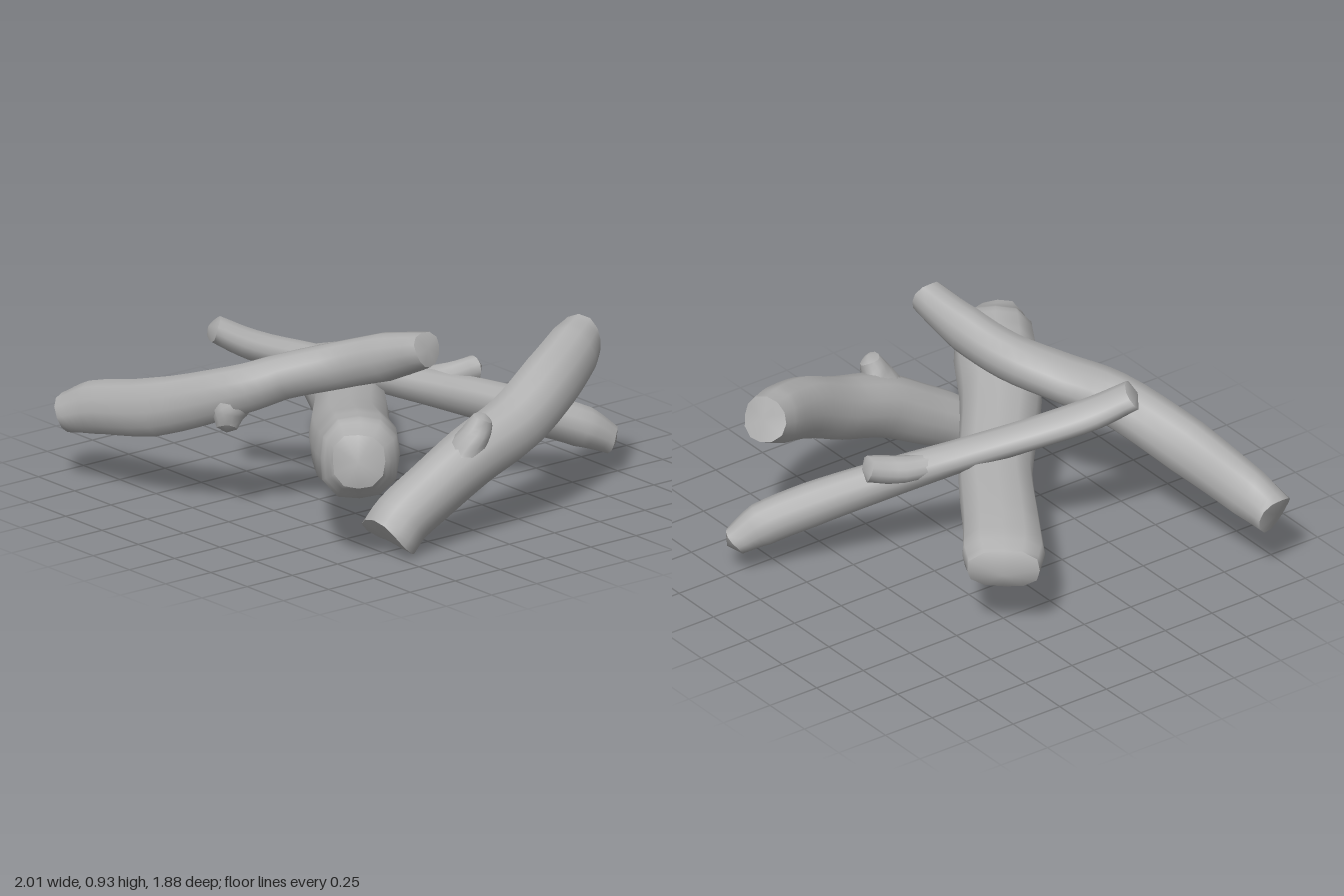
import * as THREE from 'three';

const SIDES = 12;
const bark = new THREE.MeshStandardMaterial({ color: 0xb0b0b0 });
bark.name = 'grey wood';

// Lofts a log along stations [x, y, z, halfWidth, halfHeight].
// lump: surface unevenness, round: rounded ends, square: 2 = elliptical section, more = fuller corners.
function makeLog(name, stations, { lump = 0.05, phase = 0, round = false, square = 2 } = {}) {
  const curve = new THREE.CatmullRomCurve3(stations.map(([x, y, z]) => new THREE.Vector3(x, y, z)));
  const last = stations.length - 1;
  const steps = last * 4;
  const up = new THREE.Vector3(0, 1, 0);
  const pos = [], index = [];
  const rings = [];

  for (let i = 0; i <= steps; i++) {
    const t = i / steps;
    const k = Math.min(Math.floor(t * last), last - 1);
    const f = t * last - k;
    const w = THREE.MathUtils.lerp(stations[k][3], stations[k + 1][3], f);
    const h = THREE.MathUtils.lerp(stations[k][4], stations[k + 1][4], f);
    const p = curve.getPoint(t);
    const dir = curve.getTangent(t);
    const side = new THREE.Vector3().crossVectors(dir, up).normalize();
    const top = new THREE.Vector3().crossVectors(side, dir);
    const ring = [];
    for (let j = 0; j < SIDES; j++) {
      const a = (j / SIDES) * Math.PI * 2;
      const c = Math.cos(a), s = Math.sin(a);
      const full = (Math.abs(c) ** square + Math.abs(s) ** square) ** (-1 / square);
      const r = full * (1 + lump * (Math.sin(3 * a + phase + t * 5) * 0.6 + Math.sin(2 * a - phase * 2 + t * 9) * 0.5));
      const v = p.clone().addScaledVector(side, c * w * r).addScaledVector(top, s * h * r);
      // uneven saw cut at both ends
      if (i === 0 || i === steps) v.addScaledVector(dir, Math.sin(2 * a + phase) * 0.12 * Math.min(w, h));
      ring.push(v);
    }
    rings.push({ ring, p, dir, size: Math.min(w, h) });
  }

  // bark surface
  rings.forEach(({ ring }, i) => {
    ring.forEach((v, j) => {
      pos.push(v.x, v.y, v.z);
      if (i === steps) return;
      const n = (j + 1) % SIDES;
      const a = i * SIDES + j, b = i * SIDES + n;
      index.push(a, a + SIDES, b, b, a + SIDES, b + SIDES);
    });
  });

  // end cuts, with their own vertices for a crisp rim
  for (const end of [0, steps]) {
    const { ring, p, dir, size } = rings[end];
    const bulge = (end ? 1 : -1) * size * (round ? 0.5 : 0.12);
    const c = p.clone().addScaledVector(dir, bulge);
    const base = pos.length / 3;
    pos.push(c.x, c.y, c.z);
    ring.forEach((v) => pos.push(v.x, v.y, v.z));
    for (let j = 0; j < SIDES; j++) {
      const a = base + 1 + j, b = base + 1 + ((j + 1) % SIDES);
      if (end) index.push(base, b, a);
      else index.push(base, a, b);
    }
  }

  const geo = new THREE.BufferGeometry();
  geo.setAttribute('position', new THREE.Float32BufferAttribute(pos, 3));
  geo.setIndex(index);
  geo.computeVertexNormals();
  const mesh = new THREE.Mesh(geo, bark);
  mesh.name = name;
  return mesh;
}

function makeGroup(name, ...parts) {
  const group = new THREE.Group();
  group.name = name;
  group.add(...parts);
  return group;
}

export function createModel() {
  // thick log lying across the middle
  const thick = makeLog('thickLog', [
    [-0.73, 0.475, 0.87, 0.115, 0.115],
    [-0.66, 0.455, 0.79, 0.17, 0.175],
    [-0.57, 0.435, 0.66, 0.182, 0.185],
    [-0.4, 0.405, 0.4, 0.175, 0.16],
    [-0.06, 0.365, -0.02, 0.16, 0.128],
    [0.16, 0.345, -0.36, 0.17, 0.122],
    [0.28, 0.33, -0.54, 0.18, 0.115],
    [0.345, 0.32, -0.63, 0.155, 0.095],
  ], { lump: 0.03, phase: 1, round: true, square: 2.8 });

  // bent log leaning over the thick one, with a knot on its underside
  const bent = makeGroup('bentLog',
    makeLog('bentTrunk', [
      [-0.915, 0.285, -0.895, 0.095, 0.09],
      [-0.88, 0.335, -0.76, 0.105, 0.115],
      [-0.815, 0.415, -0.4, 0.115, 0.125],
      [-0.665, 0.55, -0.05, 0.118, 0.108],
      [-0.52, 0.625, 0.1, 0.115, 0.1],
      [-0.37, 0.695, 0.3, 0.098, 0.105],
      [-0.29, 0.765, 0.5, 0.095, 0.105],
      [-0.24, 0.845, 0.73, 0.08, 0.075],
    ], { phase: 2.2, square: 2.3 }),
    makeLog('bentKnot', [
      [-0.67, 0.55, -0.06, 0.1, 0.1],
      [-0.715, 0.46, -0.045, 0.08, 0.08],
      [-0.735, 0.4, -0.03, 0.045, 0.045],
    ], { phase: 0.8, round: true }));

  // thin branch and its broken stub
  const thin = makeGroup('thinBranch',
    makeLog('branchStem', [
      [-0.56, 0.735, -0.335, 0.085, 0.058],
      [-0.42, 0.655, -0.25, 0.085, 0.068],
      [-0.18, 0.575, -0.125, 0.083, 0.068],
      [0.1, 0.475, 0.05, 0.083, 0.072],
      [0.4, 0.375, 0.22, 0.085, 0.088],
      [0.65, 0.285, 0.36, 0.095, 0.095],
      [0.84, 0.205, 0.46, 0.092, 0.095],
      [0.955, 0.135, 0.505, 0.065, 0.065],
    ], { phase: 3.5, round: true }),
    makeLog('branchStub', [
      [0.15, 0.465, 0.07, 0.055, 0.05],
      [0.32, 0.45, 0.135, 0.068, 0.06],
      [0.47, 0.48, 0.185, 0.055, 0.06],
    ], { phase: 0.5, round: true }));

  // front log and its knot
  const front = makeGroup('frontLog',
    makeLog('frontTrunk', [
      [-0.485, 0.055, 0.77, 0.138, 0.12],
      [-0.42, 0.125, 0.775, 0.135, 0.12],
      [-0.25, 0.225, 0.785, 0.13, 0.128],
      [-0.05, 0.335, 0.795, 0.133, 0.137],
      [0.2, 0.42, 0.77, 0.135, 0.138],
      [0.45, 0.54, 0.7, 0.128, 0.138],
      [0.66, 0.62, 0.6, 0.118, 0.125],
      [0.76, 0.66, 0.545, 0.1, 0.1],
    ], { phase: 5, square: 2.2 }),
    makeLog('frontKnot', [
      [-0.09, 0.34, 0.81, 0.13, 0.1],
      [-0.065, 0.45, 0.845, 0.085, 0.07],
      [-0.04, 0.53, 0.865, 0.05, 0.045],
    ], { phase: 1.5, round: true }));

  return makeGroup('logPile', thick, bent, thin, front);
}
